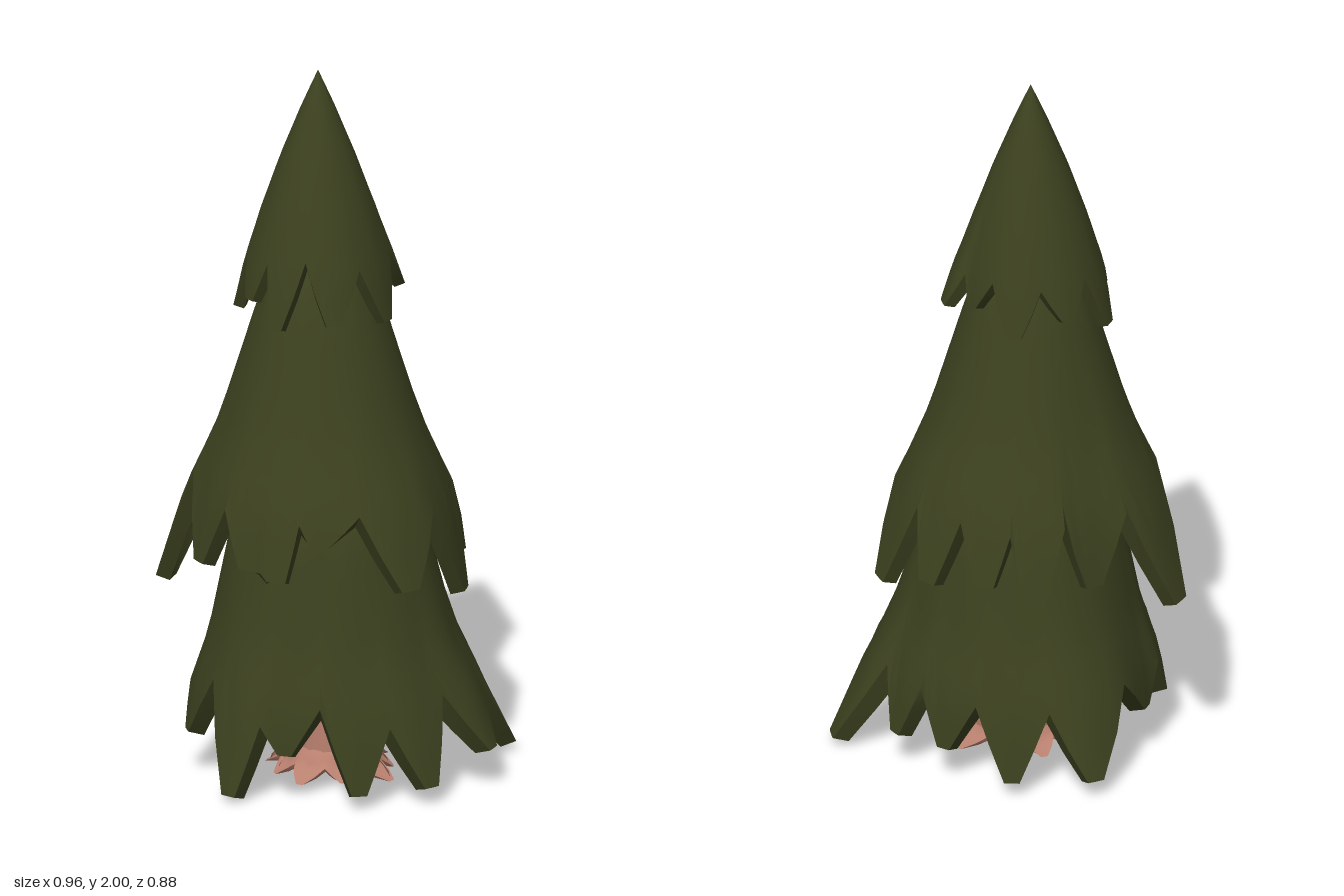
import * as THREE from 'three';
import { toCreasedNormals } from 'three/addons/utils/BufferGeometryUtils.js';

const needles = new THREE.MeshStandardMaterial({ color: 0x3c411f });
needles.name = 'pine green';
const bark = new THREE.MeshStandardMaterial({ color: 0xb9806f });
bark.name = 'bark';

// radius at height y, from a profile of [y, radius] going down
function radiusAt(profile, y) {
  for (let i = 1; i < profile.length; i++) {
    const [y0, r0] = profile[i - 1], [y1, r1] = profile[i];
    if (y >= y1) return r0 + (r1 - r0) * (y0 - y) / (y0 - y1);
  }
  return profile[profile.length - 1][1];
}

// Jagged hem of [angle, radius, height, drop of the inner edge]. Each tip
// [angle from the front towards +x, radius, height, height of next notch]
// is cut blunt, with the notch halfway to the next tip
function jaggedHem(profile, tips, blunt, thick) {
  const hem = [];
  tips.forEach(([a, r, y, notchY], i) => {
    const [a2, r2] = tips[(i + 1) % tips.length];
    const gap = (a2 - a + 360) % 360;
    const notchR = 0.8 * radiusAt(profile, notchY) + 0.1 * (r + r2);
    hem.push([a - blunt, r, y, thick * 0.3], [a + blunt, r, y, thick * 0.3],
      [a + gap / 2, notchR, notchY, thick]);
  });
  return hem;
}

// Thick skirt hanging from the top of its profile down to a jagged hem,
// closed below by a dome that rises to the ceiling height
function skirt({ profile, tips, blunt, thick, ceiling, cx, cz }) {
  const rings = 12, domeRings = 6, sub = 2, columns = [];
  const hem = jaggedHem(profile, tips, blunt, thick);
  hem.forEach((p, i) => {
    const q = hem[(i + 1) % hem.length];
    const span = (q[0] - p[0] + 720) % 360;
    for (let s = 0; s < sub; s++) {
      const k = s / sub;
      columns.push(p.map((v, c) => v + (c ? q[c] - v : span) * k));
    }
  });
  const top = profile[0][0], pos = [], index = [];
  const n = columns.length, row = rings + domeRings + 2;
  for (const [deg, r, yHem, drop] of columns) {
    const a = deg * Math.PI / 180, stretch = r / radiusAt(profile, yHem) - 1;
    const put = (rad, y) => pos.push(cx + rad * Math.sin(a), y, cz + rad * Math.cos(a));
    for (let j = 0; j <= rings; j++) {
      const t = j / rings, y = top + (yHem - top) * t;
      put(radiusAt(profile, y) * (1 + stretch * t ** 3), y);
    }
    const yIn = Math.max(0, yHem - drop);
    for (let j = 0; j <= domeRings; j++) {
      const k = j / domeRings * Math.PI / 2;
      put((r - thick) * Math.cos(k), yIn + (ceiling - yIn) * Math.sin(k));
    }
  }
  for (let i = 0; i < n; i++) {
    const a = i * row, b = ((i + 1) % n) * row;
    for (let j = 0; j < row - 1; j++) {
      index.push(a + j, a + j + 1, b + j + 1, a + j, b + j + 1, b + j);
    }
  }
  const g = new THREE.BufferGeometry();
  g.setAttribute('position', new THREE.Float32BufferAttribute(pos, 3));
  g.setIndex(index);
  return toCreasedNormals(g, 0.75);
}

export function createModel() {
  const tree = new THREE.Group();
  tree.name = 'pineTree';
  const add = (name, geometry, material) => {
    const mesh = new THREE.Mesh(geometry, material);
    mesh.name = name;
    tree.add(mesh);
    return mesh;
  };

  // Top tier, leaning slightly
  add('topBranches', skirt({
    cx: -0.045, cz: -0.01, thick: 0.03, blunt: 5, ceiling: 1.55,
    profile: [[2, 0], [1.9, 0.045], [1.75, 0.105], [1.6, 0.155], [1.45, 0.195], [1.28, 0.22]],
    tips: [[5, 0.23, 1.31, 1.5], [47, 0.235, 1.33, 1.47], [96, 0.225, 1.31, 1.48],
      [148, 0.25, 1.36, 1.46], [172, 0.205, 1.38, 1.47], [213, 0.235, 1.33, 1.46],
      [253, 0.225, 1.37, 1.47], [294, 0.235, 1.31, 1.48], [336, 0.22, 1.37, 1.48]],
  }), needles);

  // Middle tier
  add('middleBranches', skirt({
    cx: -0.03, cz: 0, thick: 0.04, blunt: 4, ceiling: 1,
    profile: [[1.6, 0], [1.45, 0.13], [1.35, 0.17], [1, 0.275], [0.8, 0.355], [0.5, 0.42]],
    tips: [[4, 0.38, 0.66, 0.66], [18, 0.39, 0.64, 0.8], [36, 0.37, 0.74, 0.82],
      [72, 0.43, 0.61, 0.8], [116, 0.41, 0.53, 0.8], [156, 0.445, 0.56, 0.8],
      [181, 0.41, 0.61, 0.8], [206, 0.39, 0.63, 0.78], [227, 0.405, 0.59, 0.8],
      [254, 0.37, 0.61, 0.8], [289, 0.465, 0.51, 0.86], [334, 0.38, 0.64, 0.81]],
  }), needles);

  // Bottom tier
  add('bottomBranches', skirt({
    cx: 0, cz: 0, thick: 0.045, blunt: 3, ceiling: 0.38,
    profile: [[1, 0], [0.9, 0.18], [0.75, 0.26], [0.6, 0.29], [0.4, 0.33], [0.25, 0.38], [0, 0.42]],
    tips: [[357, 0.44, 0.02, 0.22], [17, 0.375, 0.14, 0.28], [48, 0.415, 0.04, 0.22],
      [75, 0.455, 0.05, 0.28], [104, 0.49, 0.11, 0.28], [143, 0.53, 0.03, 0.27],
      [166, 0.41, 0.1, 0.26], [190, 0.38, 0.1, 0.25], [221, 0.41, 0.04, 0.24],
      [251, 0.465, 0.05, 0.27], [294, 0.37, 0.14, 0.25], [318, 0.4, 0.13, 0.31]],
  }), needles);

  // Trunk, reaching up inside the lowest tier
  const trunk = add('trunk', new THREE.CylinderGeometry(0.1, 0.12, 0.6, 16), bark);
  trunk.position.set(0.01, 0.32, -0.01);

  // Star of pointed roots spreading on the ground
  add('roots', skirt({
    cx: 0.01, cz: 0, thick: 0.012, blunt: 3, ceiling: 0.08,
    profile: [[0.1, 0.09], [0.06, 0.118], [0.03, 0.13], [0, 0.17]],
    tips: [0.19, 0.16, 0.21, 0.17, 0.2, 0.16, 0.18, 0.19, 0.17].map((r, i) => [i * 40 + 8, r, 0, 0.035]),
  }), bark);
  return tree;
}
